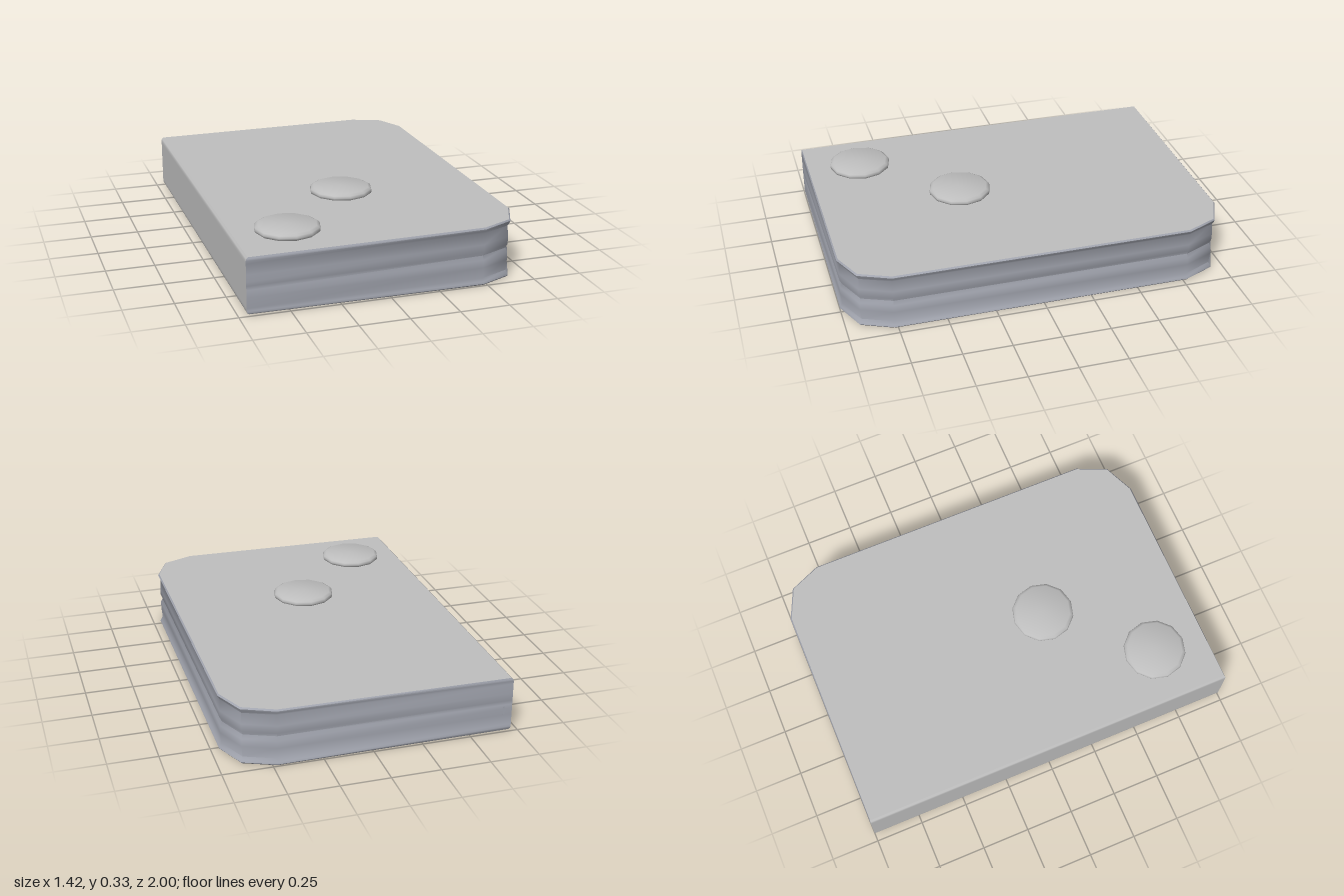
import * as THREE from 'three';
import { toCreasedNormals } from 'three/addons/utils/BufferGeometryUtils.js';

const grey = new THREE.MeshStandardMaterial({ color: 0xbfbfbf });
grey.name = 'light grey';
const blueGrey = new THREE.MeshStandardMaterial({ color: 0xa2a5af });
blueGrey.name = 'blue grey';

// Outline seen from above: x, z, inward x, inward z (square at the left, chamfered at the right)
const half = [[-0.712, 1, 0.7, -0.25], [0.48, 1, -0.21, -1], [0.64, 0.93, -0.7, -0.72], [0.71, 0.77, -1, -0.2]];
const outline = [...half, ...half.slice().reverse().map(([x, z, a, b]) => [x, -z, a, -b])];

// Wall section: height from -1 to 1, and inset; rolled rims and a shallow central groove
const upper = [[0, 0.019], [0.14, 0.009], [0.4, 0.008], [0.78, 0.014], [0.88, 0.004], [0.95, 0], [1, 0.007]];
const section = [...upper.slice(1).reverse().map(([s, d]) => [-s, d]), ...upper];

// The slab thickens slightly toward +x
function point(i, [s, d]) {
  const [x, z, a, b] = outline[i];
  const isLeft = x < -0.7;
  const inset = isLeft ? (Math.abs(s) === 1 ? 0.016 : Math.abs(s) > 0.94 ? 0.004 : 0) : d;
  return [x + a * inset, 0.156 + s * (0.1465 + 0.0065 * x), z + b * inset];
}

function fromTriangles(positions, crease) {
  const g = new THREE.BufferGeometry();
  g.setAttribute('position', new THREE.Float32BufferAttribute(positions, 3));
  g.computeVertexNormals();
  return crease ? toCreasedNormals(g, crease) : g;
}

// Wall strip between consecutive outline points
function wall(from, to) {
  const out = [];
  for (let i = from; i < to; i++) {
    const n = (i + 1) % outline.length;
    for (let k = 0; k < section.length - 1; k++) {
      const a = point(i, section[k]), b = point(n, section[k]);
      const c = point(n, section[k + 1]), d = point(i, section[k + 1]);
      out.push(...a, ...b, ...c, ...a, ...c, ...d);
    }
  }
  return fromTriangles(out, 0.9);
}

// Flat top or bottom sheet
function cover(level, up) {
  const out = [];
  for (let i = 1; i < outline.length - 1; i++) {
    const [b, c] = up ? [i, i + 1] : [i + 1, i];
    out.push(...point(0, level), ...point(b, level), ...point(c, level));
  }
  return fromTriangles(out);
}

export function createModel() {
  const model = new THREE.Group();
  model.name = 'slab';
  const add = (name, geometry, material, x = 0, y = 0, z = 0) => {
    const mesh = new THREE.Mesh(geometry, material);
    mesh.name = name;
    mesh.position.set(x, y, z);
    model.add(mesh);
    return mesh;
  };

  add('sideWall', wall(0, 7), blueGrey);
  add('flatEnd', wall(7, 8), grey);
  add('topCover', cover(section[section.length - 1], true), grey);
  add('bottomCover', cover(section[0], false), grey);

  // Twelve-sided rounded buttons
  const profile = [[0.15, 0.296], [0.161, 0.304], [0.164, 0.314], [0.16, 0.325], [0.145, 0.333], [0, 0.334]]
    .map(([r, y]) => new THREE.Vector2(r, y));
  const button = toCreasedNormals(new THREE.LatheGeometry(profile, 12), 0.9);
  add('middleButton', button, grey, -0.01, 0, 0.255);
  add('cornerButton', button, grey, -0.432, 0, 0.715);

  // Tiny catches near the flat end
  const ring = new THREE.TorusGeometry(0.009, 0.003, 6, 12);
  add('frontCatch', ring, blueGrey, -0.694, 0.155, 0.996);
  add('backCatch', ring, blueGrey, -0.67, 0.155, -0.996);
  add('backCatchStem', new THREE.BoxGeometry(0.01, 0.045, 0.008), blueGrey, -0.67, 0.125, -0.996);
  return model;
}
